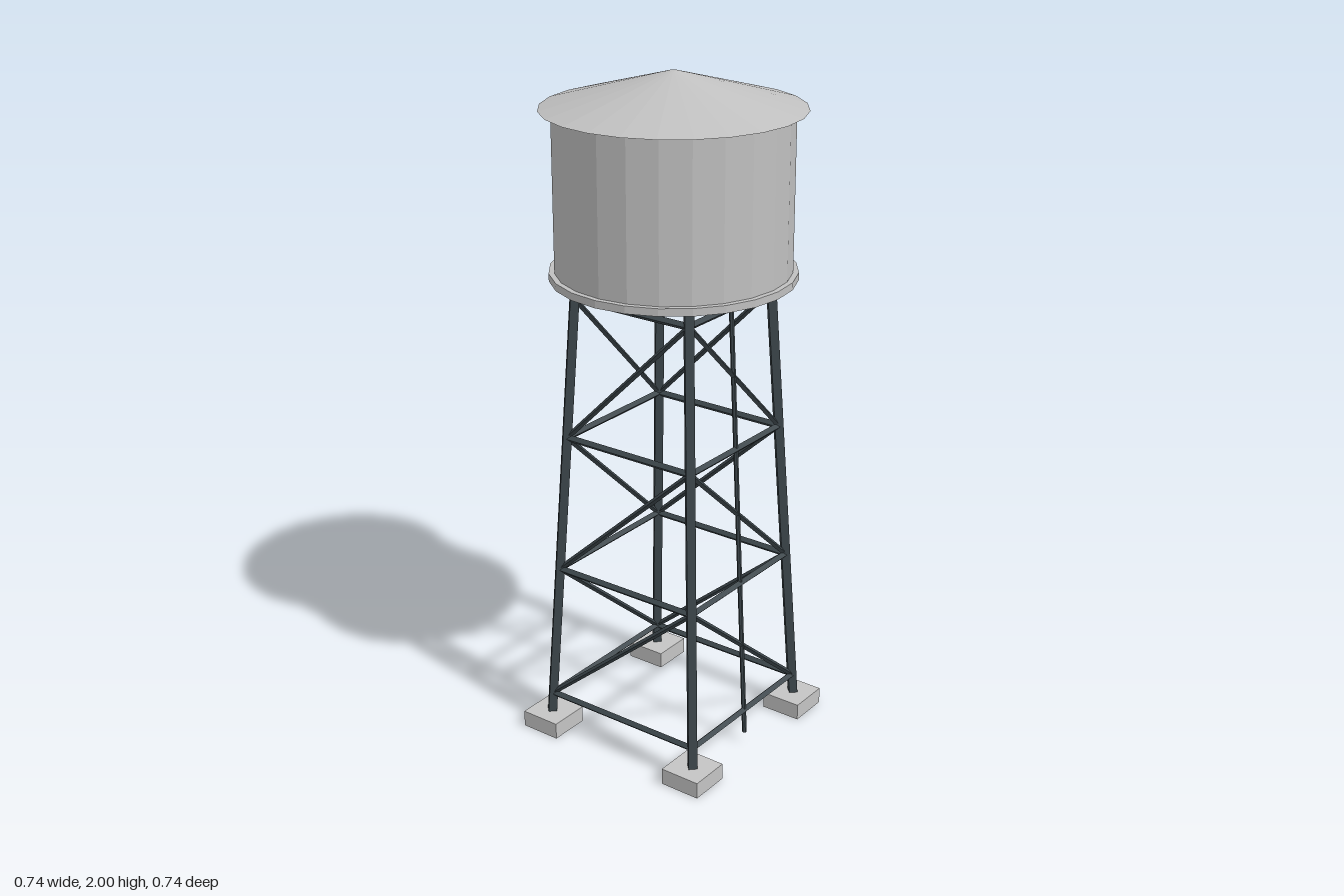
import * as THREE from 'three';

export function createModel() {
  const model = new THREE.Group();
  const mat = (name, color) => {
    const m = new THREE.MeshStandardMaterial({ color, flatShading: true });
    m.name = name;
    return m;
  };
  const steel = mat('dark steel', 0x3c464b);
  const metal = mat('tank metal', 0xc0c0c0);
  const concrete = mat('concrete', 0xc4c4c4);

  const add = (name, geo, material, x, y, z) => {
    const mesh = new THREE.Mesh(geo, material);
    mesh.name = name;
    mesh.position.set(x, y, z);
    model.add(mesh);
    return mesh;
  };

  // Straight four-sided bar between two points
  const up = new THREE.Vector3(0, 1, 0);
  const bar = (name, a, b, radius, sides = 4) => {
    const dir = b.clone().sub(a);
    const mid = a.clone().add(b).multiplyScalar(0.5);
    const geo = new THREE.CylinderGeometry(radius, radius, dir.length(), sides);
    const mesh = add(name, geo, steel, mid.x, mid.y, mid.z);
    mesh.quaternion.setFromUnitVectors(up, dir.normalize());
  };

  // Legs lean inward: half spread of the tower at height y
  const spread = (y) => 0.265 - 0.07 * (y - 0.05) / 1.375;
  const corner = (sx, sz, y) => new THREE.Vector3(sx * spread(y), y, sz * spread(y));

  // Footings and legs
  for (const sx of [-1, 1]) {
    for (const sz of [-1, 1]) {
      add('footing', new THREE.BoxGeometry(0.126, 0.05, 0.126), concrete, sx * 0.263, 0.025, sz * 0.263);
      bar('leg', corner(sx, sz, 0.045), corner(sx, sz, 1.43), 0.018);
    }
  }

  // Horizontal beams and diagonal braces on the four sides
  const sides = [
    [[-1, 1], [1, 1]],
    [[-1, -1], [1, -1]],
    [[1, -1], [1, 1]],
    [[-1, -1], [-1, 1]],
  ];
  const levels = [0.11, 0.53, 0.95, 1.37];
  for (const [a, b] of sides) {
    levels.forEach((y, i) => {
      bar('beam', corner(...a, y), corner(...b, y), 0.011);
      if (i < 3) bar('brace', corner(...a, y), corner(...b, levels[i + 1]), 0.008);
    });
  }

  // Leaning pipe in the middle of one side
  bar('pipe', new THREE.Vector3(spread(0.035), 0.035, 0), new THREE.Vector3(spread(1.43), 1.43, 0), 0.007, 6);

  // Platform, tank and roof
  add('platform', new THREE.CylinderGeometry(0.35, 0.35, 0.022, 24), metal, 0, 1.435, 0);
  add('tank', new THREE.CylinderGeometry(0.334, 0.334, 0.456, 24), metal, 0, 1.673, 0);
  add('roof', new THREE.CylinderGeometry(0.012, 0.369, 0.1, 24), metal, 0, 1.95, 0);
  return model;
}
